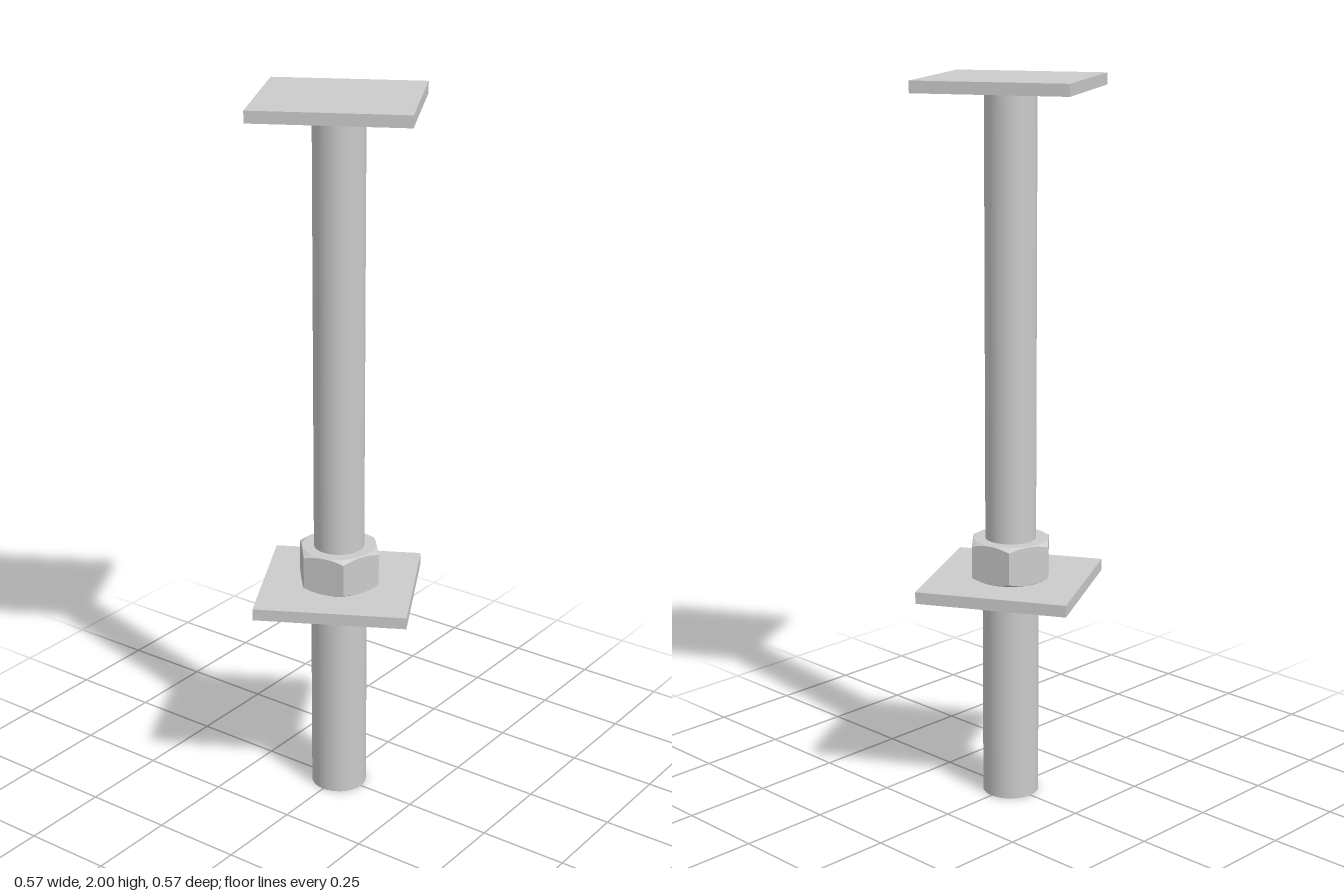
import * as THREE from 'three';
import { toCreasedNormals } from 'three/addons/utils/BufferGeometryUtils.js';

const material = new THREE.MeshStandardMaterial({ color: 0xcccccc });
const deg = Math.PI / 180;

// Sweeps a profile around y; profile(a) gives [radius, y] points, bottom to top, for each angle
function sweep(profile, segments, startAngle) {
  const positions = [], index = [];
  const rows = profile(0).length;
  for (let i = 0; i <= segments; i++) {
    const a = (i / segments) * Math.PI * 2;
    for (const [r, y] of profile(a)) {
      positions.push(r * Math.cos(a + startAngle), y, r * Math.sin(a + startAngle));
    }
  }
  for (let i = 0; i < segments; i++) {
    for (let j = 0; j < rows - 1; j++) {
      const p = i * rows + j, q = p + rows;
      index.push(p, p + 1, q, q, p + 1, q + 1);
    }
  }
  const geometry = new THREE.BufferGeometry();
  geometry.setAttribute('position', new THREE.Float32BufferAttribute(positions, 3));
  geometry.setIndex(index);
  return toCreasedNormals(geometry, 0.4);
}

export function createModel() {
  const model = new THREE.Group();
  const add = (name, geometry, y = 0) => {
    const mesh = new THREE.Mesh(geometry, material);
    mesh.name = name;
    mesh.position.y = y;
    model.add(mesh);
    return mesh;
  };
  const rod = (name, radius, y0, y1) =>
    add(name, new THREE.CylinderGeometry(radius, radius, y1 - y0, 48), (y0 + y1) / 2);

  // Lower sleeve and thinner upper rod
  rod('lowerSleeve', 0.078, 0, 0.61);
  rod('upperRod', 0.07, 0.61, 1.98);

  // Two square plates, turned the same way
  for (const [name, y0, y1] of [['lowerPlate', 0.603, 0.636], ['topPlate', 1.968, 2]]) {
    const plate = add(name, new THREE.BoxGeometry(0.42, y1 - y0, 0.42), (y0 + y1) / 2);
    plate.rotation.y = 28.8 * deg;
  }

  // Hexagonal nut with conical chamfers cutting its corners
  const apothem = 0.104, chamferRadius = 0.102, nutBottom = 0.636, nutTop = 0.747;
  add('hexNut', sweep((a) => {
    const r = apothem / Math.cos((a % (60 * deg)) - 30 * deg);
    const drop = (r - chamferRadius) * 0.58;
    return [
      [0, nutBottom], [chamferRadius, nutBottom], [r, nutBottom + drop],
      [r, nutTop - drop], [chamferRadius, nutTop], [0, nutTop],
    ];
  }, 96, 48 * deg));

  // Conical washer under the plate, with a rounded groove on two opposite sides
  const washerBottom = 0.573, washerTop = 0.604;
  add('conicalWasher', sweep((a) => {
    const across = Math.sin(a) * 0.11 / 0.02;
    const y = washerBottom + 0.024 * Math.sqrt(Math.max(0, 1 - across * across));
    const rim = 0.118 - (y - washerBottom) * 0.9;
    return [[0.07, y], [rim, y], [0.09, washerTop], [0.07, washerTop]];
  }, 192, 108 * deg));

  return model;
}
